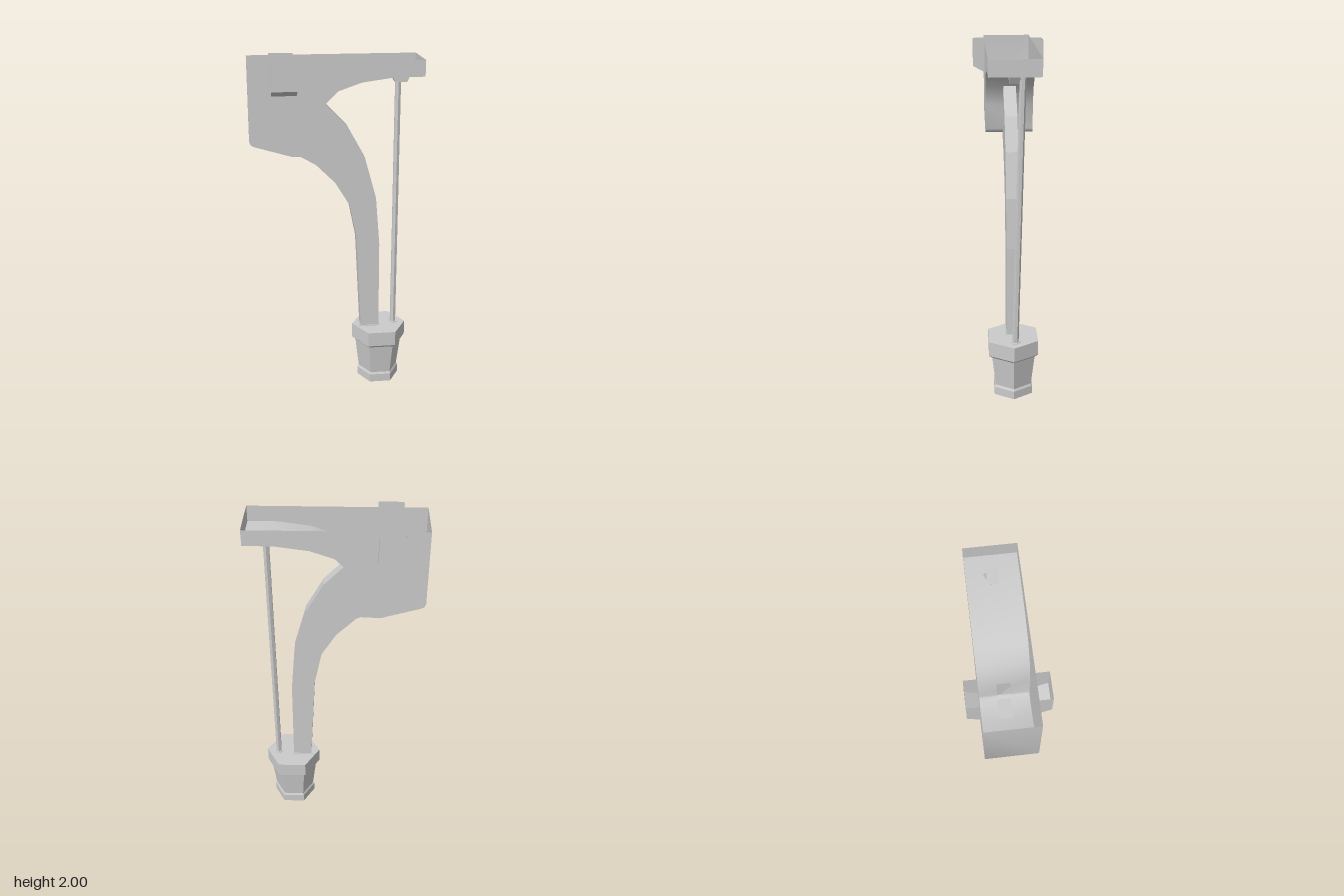
import * as THREE from 'three';
import { toCreasedNormals } from 'three/addons/utils/BufferGeometryUtils.js';

const solid = new THREE.MeshStandardMaterial({ color: 0xcccccc, flatShading: true });
const thin = new THREE.MeshStandardMaterial({ color: 0xcccccc, side: THREE.DoubleSide });

const toShape = pts => new THREE.Shape(pts.map(([x, y]) => new THREE.Vector2(x, y)));

function add(parent, name, geometry, material = solid) {
  const mesh = new THREE.Mesh(geometry, material);
  mesh.name = name;
  parent.add(mesh);
  return mesh;
}

// Flat plate cut to an outline, centred on z = 0
function plate(pts, depth) {
  return new THREE.ExtrudeGeometry(toShape(pts), { depth, bevelEnabled: false }).translate(0, 0, -depth / 2);
}

// Open-topped trough: a strip swept along the profile plus two side walls
function trough(name, profile, halfWidth, closing = []) {
  const group = new THREE.Group();
  group.name = name;
  const positions = [], index = [];
  profile.forEach(([x, y], i) => {
    positions.push(x, y, -halfWidth, x, y, halfWidth);
    if (i) {
      const a = 2 * i - 2;
      index.push(a, a + 2, a + 3, a, a + 3, a + 1);
    }
  });
  const strip = new THREE.BufferGeometry();
  strip.setAttribute('position', new THREE.Float32BufferAttribute(positions, 3));
  strip.setIndex(index);
  add(group, name + 'Floor', toCreasedNormals(strip, 0.85), thin);
  for (const s of [-1, 1]) {
    const wall = new THREE.ShapeGeometry(toShape([...profile, ...closing]));
    add(group, name + 'Side', wall, thin).position.z = s * halfWidth;
  }
  return group;
}

// Straight six-sided bar between two points
function bar(parent, name, a, b, radius) {
  const from = new THREE.Vector3(...a), dir = new THREE.Vector3(...b).sub(from);
  const mesh = add(parent, name, new THREE.CylinderGeometry(radius, radius, dir.length(), 6));
  mesh.position.copy(from).addScaledVector(dir, 0.5);
  mesh.quaternion.setFromUnitVectors(new THREE.Vector3(0, 1, 0), dir.normalize());
}

export function createModel() {
  const model = new THREE.Group();
  model.name = 'bracketLeg';

  // Hollow arched body, open at the top
  model.add(trough('body', [
    [-0.485, 2], [-0.485, 1.57], [-0.477, 1.553], [-0.46, 1.543], [-0.25, 1.48],
    [-0.145, 1.48], [-0.126, 1.488], [-0.12, 1.505], [-0.12, 1.65], [-0.07, 1.765],
    [0.005, 1.84], [0.135, 1.885], [0.32, 1.91], [0.483, 1.91], [0.483, 2],
  ], 0.138));

  // Open side lugs with sloped bottoms
  for (const s of [-1, 1]) {
    const lug = trough('lug', [[0, 1.82], [0.067, 1.855], [0.067, 2]], 0.069, [[0, 2]]);
    lug.position.set(-0.29, 0, s * 0.138);
    lug.rotation.y = -s * Math.PI / 2;
    model.add(lug);
  }

  // Curved leg running from the body down into the foot
  add(model, 'leg', plate([
    [-0.07, 1.764], [-0.12, 1.65], [-0.12, 1.5], [-0.14, 1.482], [-0.25, 1.482],
    [-0.11, 1.4], [0, 1.29], [0.085, 1.15], [0.128, 0.94], [0.16, 0.35],
    [0.27, 0.35], [0.265, 0.9], [0.24, 1.19], [0.17, 1.44], [0.07, 1.62],
  ], 0.072));

  // Hexagonal foot
  const foot = [[0, 0], [0.128, 0], [0.128, 0.05], [0.12, 0.063], [0.143, 0.25],
    [0.165, 0.268], [0.165, 0.358], [0, 0.358]].map(p => new THREE.Vector2(...p));
  add(model, 'foot', new THREE.LatheGeometry(foot, 6, Math.PI / 2)).position.x = 0.275;

  // Low collars where the leg and rod enter the foot
  add(model, 'legCollar', new THREE.BoxGeometry(0.124, 0.008, 0.086)).position.set(0.215, 0.358, 0);
  add(model, 'rodCollar', new THREE.CylinderGeometry(0.028, 0.028, 0.008, 6)).position.set(0.367, 0.358, -0.01);

  // Slanted rod with a bent tip, and the tapered mount beside it
  bar(model, 'rod', [0.367, 0.34, -0.01], [0.367, 1.882, -0.046], 0.018);
  bar(model, 'rodTip', [0.367, 1.876, -0.048], [0.367, 1.91, -0.03], 0.017);
  add(model, 'rodMount', plate([[0.313, 1.911], [0.338, 1.863], [0.405, 1.863], [0.43, 1.911]], 0.052));

  return model;
}
